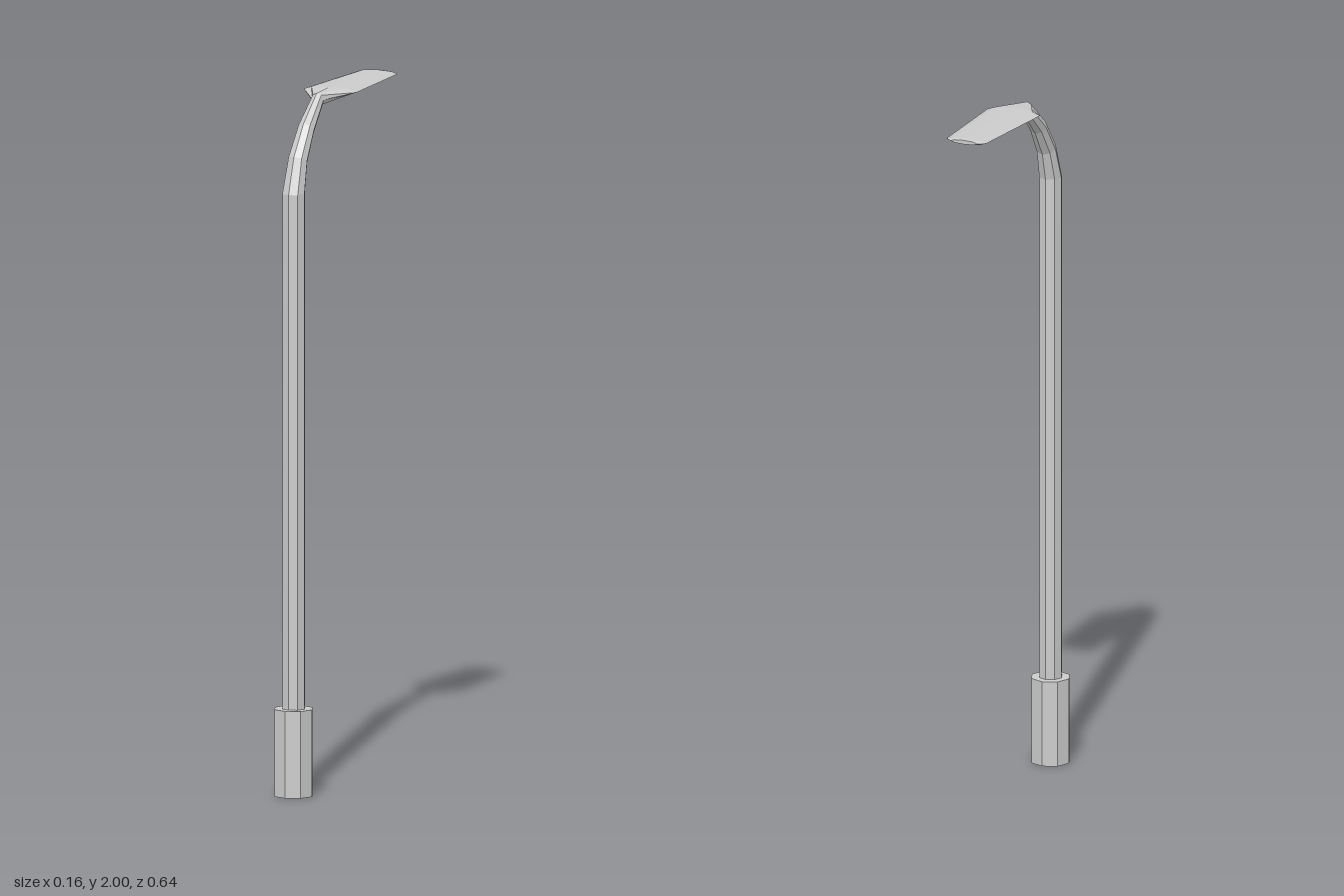
import * as THREE from 'three';

const SIDES = 8;
const POLE_Z = 0.263;

// Lofts eight-sided rings along a path in the yz plane.
// Ring: [z, y, half width in x, half thickness, tilt in degrees]
function loft(rings) {
  const points = [];
  for (const [z, y, w, h, tilt] of rings) {
    const t = THREE.MathUtils.degToRad(tilt);
    for (let i = 0; i < SIDES; i++) {
      const a = -i / SIDES * Math.PI * 2;
      const n = h * Math.sin(a);
      points.push(w * Math.cos(a), y + n * Math.sin(t), z + n * Math.cos(t));
    }
  }
  const index = [];
  for (let r = 0; r < rings.length - 1; r++) {
    for (let i = 0; i < SIDES; i++) {
      const a = r * SIDES + i, b = r * SIDES + (i + 1) % SIDES;
      index.push(a, b, b + SIDES, a, b + SIDES, a + SIDES);
    }
  }
  // end caps
  const last = (rings.length - 1) * SIDES;
  for (let i = 1; i < SIDES - 1; i++) {
    index.push(0, i + 1, i, last, last + i, last + i + 1);
  }
  const geometry = new THREE.BufferGeometry();
  geometry.setAttribute('position', new THREE.Float32BufferAttribute(points, 3));
  geometry.setIndex(index);
  const flat = geometry.toNonIndexed();
  flat.computeVertexNormals();
  return flat;
}

export function createModel() {
  const group = new THREE.Group();
  const material = new THREE.MeshStandardMaterial({ color: 0xcccccc, flatShading: true });
  const add = (name, geometry) => {
    const mesh = new THREE.Mesh(geometry, material);
    mesh.name = name;
    group.add(mesh);
    return mesh;
  };

  // Thick octagonal foot
  const base = add('base', new THREE.CylinderGeometry(0.058, 0.058, 0.25, SIDES));
  base.position.set(0, 0.125, POLE_Z);

  // Straight pole bending backwards into a tapering arm
  const neck = [0.098, 1.975, 0.018, 0.021, 68];
  add('pole', loft([
    [POLE_Z, 0.24, 0.034, 0.034, 0],
    [POLE_Z, 1.73, 0.034, 0.034, 0],
    [0.234, 1.822, 0.029, 0.029, 25],
    [0.178, 1.902, 0.025, 0.025, 46],
    neck,
  ]));

  // Flat lamp head widening from the neck
  add('lampHead', loft([
    neck,
    [0.015, 1.988, 0.082, 0.012, 90],
    [-0.309, 1.991, 0.062, 0.008, 90],
    [-0.323, 1.991, 0.042, 0.006, 90],
  ]));

  return group;
}
